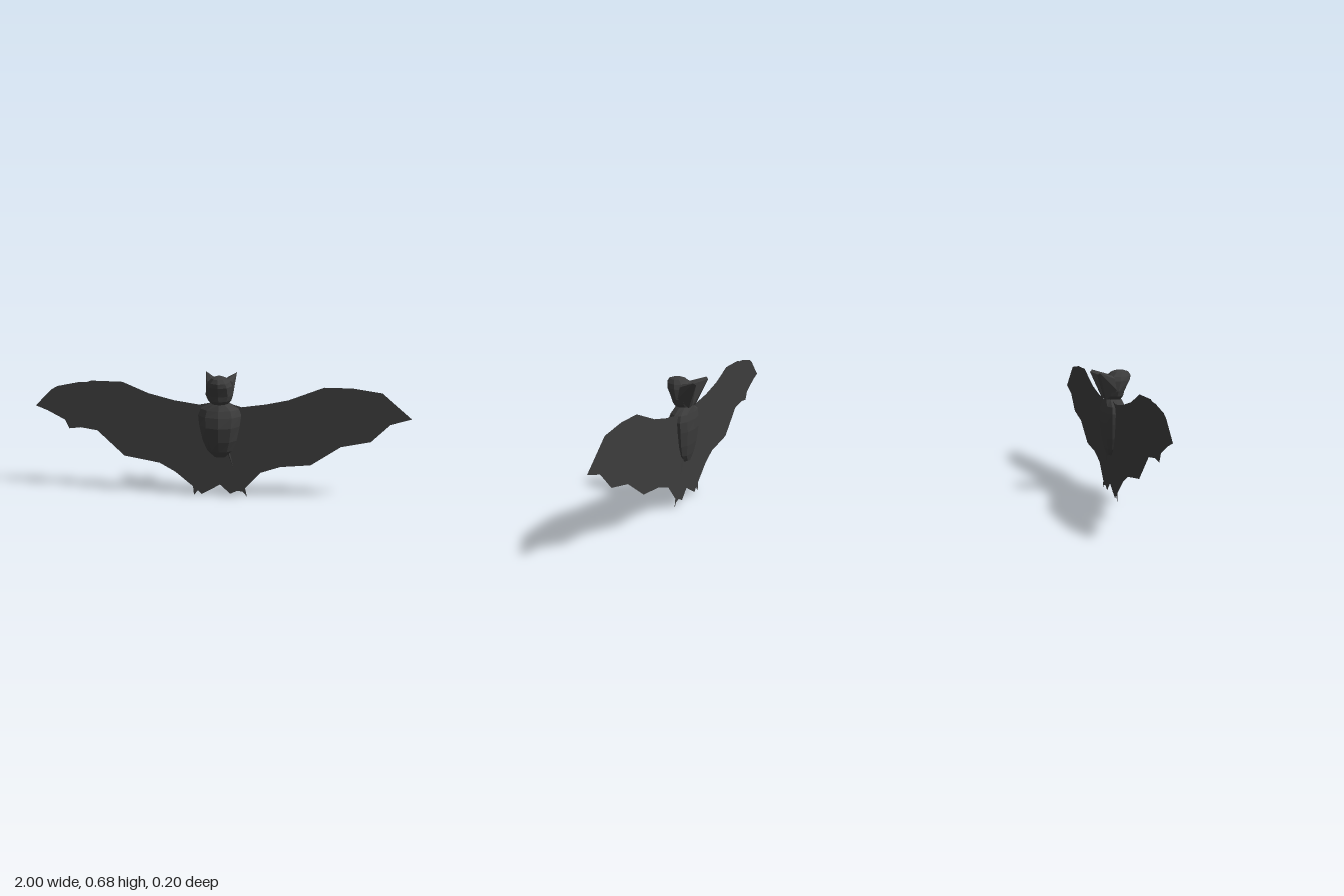
import * as THREE from 'three';
import { ConvexGeometry } from 'three/addons/geometries/ConvexGeometry.js';

const WING_Z = -0.012;

// Closed low-poly form lofted through rings [y, halfWidth, zFront, zBack, zWidest]
function loft(rings, sides) {
  const pos = [], index = [];
  for (const [y, w, zf, zb, zm] of rings) {
    for (let i = 0; i < sides; i++) {
      const a = (i / sides) * Math.PI * 2, c = Math.cos(a);
      pos.push(Math.sin(a) * w, y, zm + c * (c > 0 ? zf - zm : zm - zb));
    }
  }
  for (let r = 0; r < rings.length - 1; r++) {
    for (let i = 0; i < sides; i++) {
      const a = r * sides + i, b = r * sides + (i + 1) % sides;
      index.push(a, b, b + sides, a, b + sides, a + sides);
    }
  }
  // end caps
  const top = (rings.length - 1) * sides;
  for (let i = 1; i < sides - 1; i++) {
    index.push(0, i + 1, i, top, top + i, top + i + 1);
  }
  const g = new THREE.BufferGeometry();
  g.setAttribute('position', new THREE.Float32BufferAttribute(pos, 3));
  g.setIndex(index);
  const flat = g.toNonIndexed();
  flat.computeVertexNormals();
  return flat;
}

export function createModel() {
  const bat = new THREE.Group();
  bat.name = 'bat';
  const fur = new THREE.MeshStandardMaterial({ color: 0x3c3c3c });
  fur.name = 'charcoal';
  fur.flatShading = true;
  fur.side = THREE.DoubleSide;

  const add = (name, geometry) => {
    const mesh = new THREE.Mesh(geometry, fur);
    mesh.name = name;
    bat.add(mesh);
    return mesh;
  };

  // Wing membrane: one thin sheet with slightly uneven wings, feet and tail notch
  const outline = [
    [-1, .484], [-.91, .575], [-.875, .595], [-.757, .62], [-.714, .621], [-.69, .63],
    [-.52, .628], [-.382, .57], [-.243, .535], [-.11, .516], [-.04, .53], [.04, .53],
    [.115, .508], [.243, .527], [.36, .553], [.543, .626], [.69, .626], [.842, .604],
    [1, .47], [.89, .436], [.794, .34], [.64, .307], [.484, .2], [.323, .184],
    [.217, .147], [.136, .056], [.147, .008], [.125, .035], [.094, .04], [.056, .021],
    [0, .072], [-.061, .035], [-.1, .014], [-.12, .035], [-.142, .006], [-.147, .056],
    [-.243, .136], [-.329, .184], [-.521, .217], [-.666, .355], [-.757, .369],
    [-.82, .361], [-.842, .409], [-.938, .46],
  ].map(([x, y]) => new THREE.Vector2(x, y));
  add('wings', new THREE.ShapeGeometry(new THREE.Shape(outline))).position.z = WING_Z;

  // Torso
  add('body', loft([
    [.232, .03, .012, -.03, -.01],
    [.27, .07, .04, -.04, -.01],
    [.33, .095, .066, -.051, -.012],
    [.41, .112, .087, -.06, -.014],
    [.465, .119, .079, -.058, -.016],
    [.5, .105, .065, -.052, -.016],
    [.532, .047, .048, -.046, -.01],
  ], 10));

  // Head with the muzzle pushed forward near the top
  add('head', loft([
    [.53, .045, .048, -.044, 0],
    [.55, .063, .062, -.045, 0],
    [.578, .073, .068, -.045, .004],
    [.63, .07, .097, -.04, .012],
    [.653, .058, .101, -.03, .018],
    [.674, .038, .087, -.005, .035],
    [.682, .018, .062, .015, .04],
  ], 9));

  // Large ears flaring up and back from the nape
  for (const s of [1, -1]) {
    const points = [
      [.072, .585, .005], [.042, .532, -.045], [.035, .655, -.002], [.005, .535, -.046],
      [.004, .645, -.03], [.068, .645, -.005], [.082, .679, -.088], [.074, .668, -.101],
    ].map(([x, y, z]) => new THREE.Vector3(s * x, y, z));
    add(s > 0 ? 'leftEar' : 'rightEar', new ConvexGeometry(points));
  }

  // Thin tail spur below the body
  const spur = add('tailSpur', new THREE.ConeGeometry(.007, .1, 4));
  spur.rotation.z = Math.PI + .3;
  spur.position.set(.06, .21, WING_Z);

  return bat;
}
